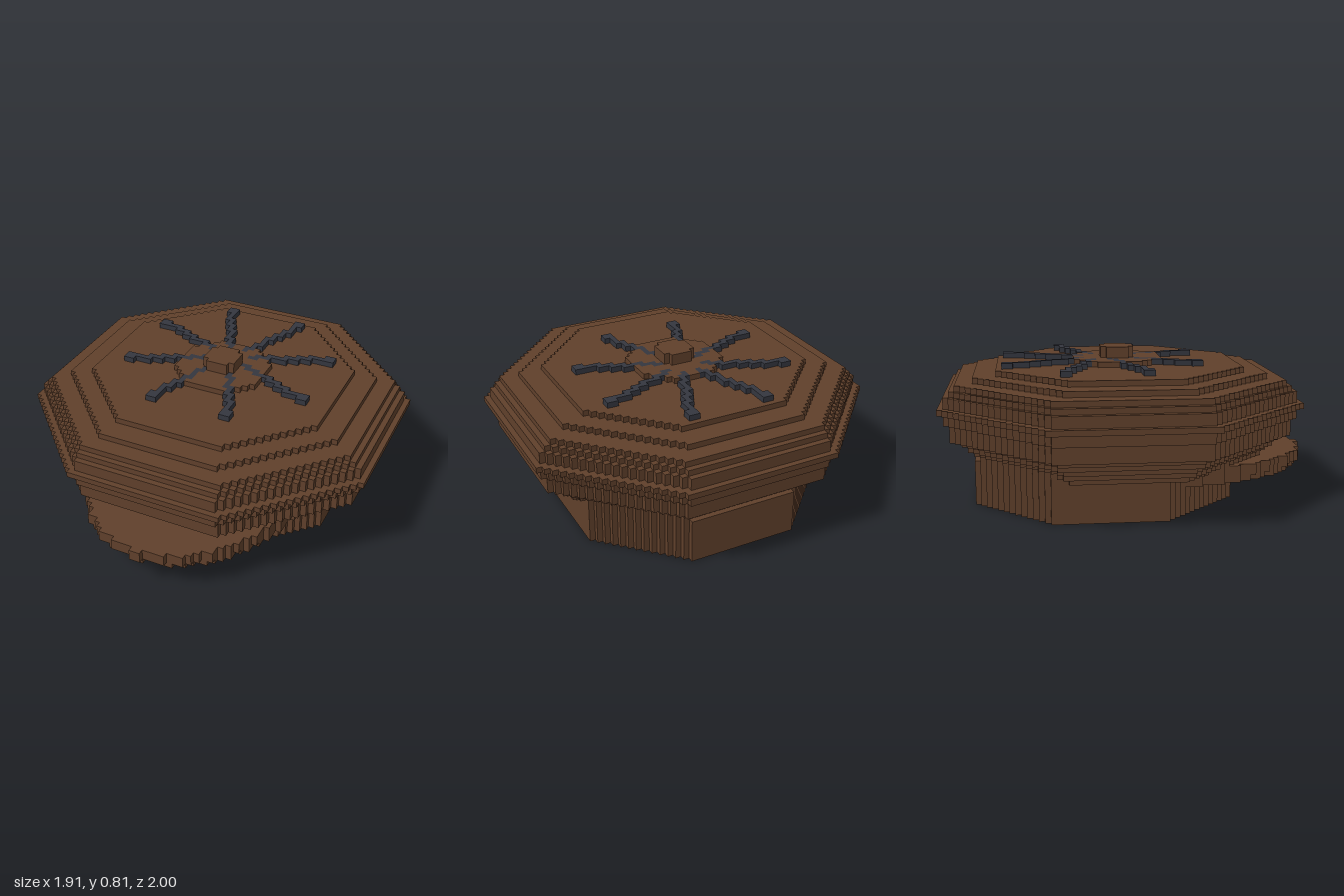
import * as THREE from 'three';

const V = 2 / 67;          // edge of one block
const Z0 = -1.5 * V;       // crown axis in z
const BAND_Z = -3;         // band and spokes sit further back, in blocks

const brown = new THREE.MeshStandardMaterial({ name: 'brownCloth', color: 0x60402b });
const slate = new THREE.MeshStandardMaterial({ name: 'slateTrim', color: 0x34363f });

// Is the block centre inside an octagon of half width h?
function octagon(x, z, h) {
  const ax = Math.abs(x), az = Math.abs(z);
  return ax < h && az < h && ax + az < h * Math.SQRT2;
}

// Mesh the outer faces of all blocks for which test(x, layer, z) holds
function blocks(name, material, y0, y1, test) {
  const filled = (c) => c[1] >= y0 && c[1] <= y1 && test(c[0] + 0.5, c[1], c[2] + 0.5);
  const pos = [];
  const addFace = (c, a, s) => {
    const u = (a + 1) % 3, v = (a + 2) % 3;
    const q = [[0, 0], [1, 0], [1, 1], [0, 1]].map(([du, dv]) => {
      const p = c.slice();
      if (s > 0) p[a] += 1;
      p[u] += du;
      p[v] += dv;
      return [p[0] * V, p[1] * V, p[2] * V + Z0];
    });
    if (s < 0) q.reverse();
    for (const i of [0, 1, 2, 0, 2, 3]) pos.push(...q[i]);
  };
  for (let y = y0; y <= y1; y++) {
    for (let x = -36; x < 36; x++) {
      for (let z = -36; z < 36; z++) {
        const c = [x, y, z];
        if (!filled(c)) continue;
        for (let a = 0; a < 3; a++) {
          for (const s of [-1, 1]) {
            const n = c.slice();
            n[a] += s;
            if (!filled(n)) addFace(c, a, s);
          }
        }
      }
    }
  }
  const geo = new THREE.BufferGeometry();
  geo.setAttribute('position', new THREE.Float32BufferAttribute(pos, 3));
  geo.computeVertexNormals();
  const mesh = new THREE.Mesh(geo, material);
  mesh.name = name;
  return mesh;
}

// Half widths of the crown, layer by layer from layer 7 up
const CROWN_START = 7;
const CROWN = [24, 25, 26, 27, 28, 30, 30, 30, 31, 31, 32, 31, 31, 30, 29, 26, 22];

const inBand = (x, z, h) => octagon(x, z - BAND_Z, h);

// Hollow crown: each layer is a ring reaching in under its neighbours
function crown(x, y, z) {
  const i = y - CROWN_START, h = CROWN[i];
  if (!octagon(x, z, h)) return false;
  if (y === 7) return !inBand(x, z, 23);
  if (y === 8 && !inBand(x, z, 22)) return true;
  const inner = Math.min(h, CROWN[i + 1] ?? 0, CROWN[i - 1]) - 1;
  return !octagon(x, z, inner);
}

// Open band, one block thick
const band = (x, y, z) => inBand(x, z, 23) && !inBand(x, z, 22);

// Half-elliptical peak in front, its lowest layer slightly shorter
function peak(x, y, z) {
  const depth = y === 5 ? 26.53 : 27.53;
  const dz = z - 7;
  return dz > 0 && (x / 20) ** 2 + (dz / depth) ** 2 < 1 && !inBand(x, z, 23);
}

// Eight stepped spokes mirrored from a single one, with square tips
const spokeCells = new Set();
const lateral = (l) => Math.floor((l + 0.5) * Math.tan(Math.PI / 8));
for (let l = 3; l < 18; l++) {
  spokeCells.add(`${l},${lateral(l)}`);
  if (l < 17) spokeCells.add(`${l},${lateral(l + 1)}`);
  if (l > 15) spokeCells.add(`${l},6`).add(`${l},7`);
}
function spoke(x, y, z) {
  const a = Math.floor(Math.abs(x)), b = Math.floor(Math.abs(z - BAND_Z));
  return spokeCells.has(`${a},${b}`) || spokeCells.has(`${b},${a}`);
}

export function createModel() {
  const group = new THREE.Group();
  group.name = 'peakedCap';
  group.add(
    blocks('band', brown, 0, 7, band),
    blocks('peak', brown, 5, 7, peak),
    blocks('crown', brown, CROWN_START, CROWN_START + CROWN.length - 1, crown),
    blocks('spokes', slate, 24, 24, spoke),
    blocks('topDisc', brown, 24, 24, (x, y, z) => octagon(x, z, 8) && !spoke(x, y, z)),
    blocks('topButton', brown, 25, 26, (x, y, z) => octagon(x, z, 3)),
  );
  return group;
}
